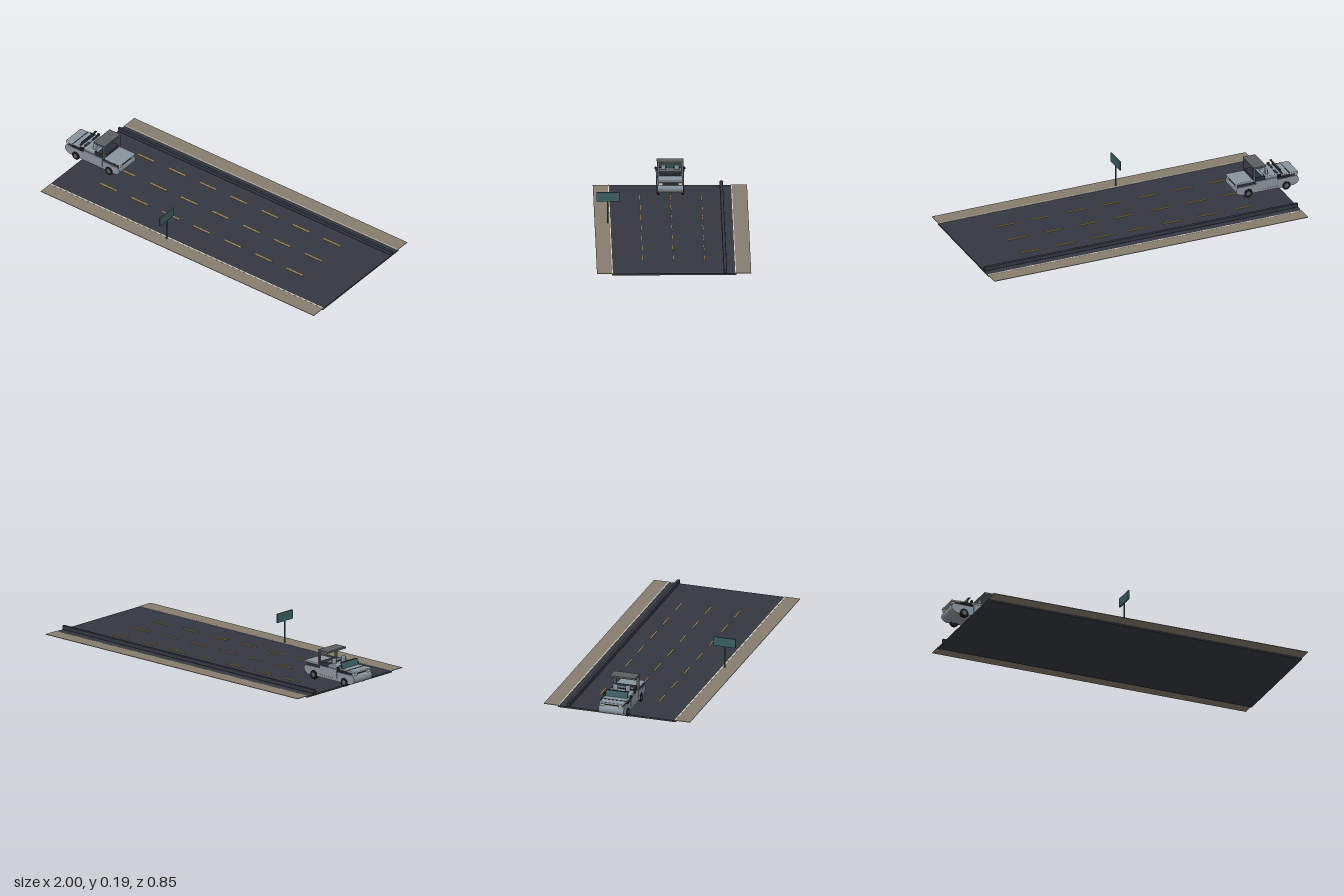
import * as THREE from 'three';
import { RoundedBoxGeometry } from 'three/addons/geometries/RoundedBoxGeometry.js';

const material = (name, color) => {
  const m = new THREE.MeshStandardMaterial({ color });
  m.name = name;
  return m;
};

export function createModel() {
  const asphalt = material('asphalt', 0x343840);
  const gravel = material('gravel', 0x857d6f);
  const yellow = material('laneYellow', 0xc2a55a);
  const white = material('lineWhite', 0xd8d2c2);
  const teal = material('teal', 0x3a5c62);
  const paint = material('bodyPaint', 0x8a959e);
  const trim = material('darkTrim', 0x2b3036);
  const canvas = material('canopyGrey', 0x5c5f60);
  const rubber = material('rubber', 0x15171a);

  const model = new THREE.Group();
  model.name = 'roadScene';
  const group = (name) => {
    const g = new THREE.Group();
    g.name = name;
    model.add(g);
    return g;
  };
  const add = (parent, name, geometry, mat, x = 0, y = 0, z = 0) => {
    const mesh = new THREE.Mesh(geometry, mat);
    mesh.name = name;
    mesh.position.set(x, y, z);
    parent.add(mesh);
    return mesh;
  };
  // Boxes given by their extents on each axis
  const box = (parent, name, mat, [x0, x1], [y0, y1], [z0, z1], r = 0) => {
    const s = [x1 - x0, y1 - y0, z1 - z0];
    const geometry = r ? new RoundedBoxGeometry(...s, 3, r) : new THREE.BoxGeometry(...s);
    return add(parent, name, geometry, mat, (x0 + x1) / 2, (y0 + y1) / 2, (z0 + z1) / 2);
  };

  // Road bed, shoulders, edge lines and the barrier along the back edge
  const road = group('road');
  const span = [-0.9, 1];
  box(road, 'roadBed', asphalt, span, [0, 0.009], [-0.345, 0.345]);
  for (const s of [-1, 1]) {
    const side = (a, b) => [Math.min(s * a, s * b), Math.max(s * a, s * b)];
    box(road, 'shoulder', gravel, span, [0.008, 0.011], side(0.341, 0.427));
    box(road, 'edgeLine', white, span, [0.009, 0.0115], side(0.336, 0.343));
  }
  box(road, 'barrier', asphalt, span, [0.009, 0.033], [-0.293, -0.275], 0.003);

  // Dashed lane lines
  for (const z of [-0.172, 0, 0.17]) {
    for (let i = 0; i < 7; i++) {
      const x = -0.623 + i * 0.2157;
      box(road, 'laneDash', yellow, [x - 0.058, x + 0.058], [0.009, 0.013], [z - 0.004, z + 0.004]);
    }
  }

  // Roadside sign
  const sign = group('roadSign');
  add(sign, 'signPost', new THREE.CylinderGeometry(0.004, 0.004, 0.13, 12), teal, -0.081, 0.074, 0.353);
  box(sign, 'signPanel', teal, [-0.085, -0.077], [0.135, 0.187], [0.289, 0.417]);

  // Open car: lower hull from a side profile
  const car = group('car');
  const profile = new THREE.Shape();
  profile.moveTo(-0.97, 0.03);
  profile.lineTo(-0.65, 0.03);
  profile.quadraticCurveTo(-0.622, 0.042, -0.622, 0.06);
  profile.quadraticCurveTo(-0.622, 0.08, -0.635, 0.08);
  profile.lineTo(-0.985, 0.085);
  profile.quadraticCurveTo(-1.0, 0.08, -1.0, 0.06);
  profile.quadraticCurveTo(-1.0, 0.04, -0.97, 0.03);
  const hull = new THREE.ExtrudeGeometry(profile, { depth: 0.146, bevelEnabled: false, curveSegments: 6 });
  add(car, 'hull', hull, paint, 0, 0, -0.073);

  // Tub and decks above the hull
  box(car, 'innerBody', trim, [-0.98, -0.63], [0.078, 0.096], [-0.066, 0.066]);
  box(car, 'bonnet', paint, [-1, -0.885], [0.095, 0.107], [-0.07, 0.07], 0.005);
  box(car, 'rearDeck', paint, [-0.73, -0.62], [0.095, 0.106], [-0.07, 0.07], 0.005);
  box(car, 'cabinDeck', paint, [-0.875, -0.8], [0.095, 0.115], [-0.068, 0.068], 0.005);
  box(car, 'rearBulkhead', trim, [-0.8, -0.73], [0.095, 0.117], [-0.064, 0.064]);
  box(car, 'seatBar', paint, [-0.795, -0.78], [0.116, 0.128], [-0.062, 0.062], 0.005);

  // Windshield with its frame
  const glass = box(car, 'windshield', teal, [-0.902, -0.896], [0.1, 0.138], [-0.064, 0.064]);
  glass.rotation.z = -0.35;
  box(car, 'windshieldRail', trim, [-0.895, -0.885], [0.134, 0.14], [-0.066, 0.066]);
  box(car, 'bonnetSeam', trim, [-0.95, -0.945], [0.106, 0.1085], [-0.07, 0.07]);

  // Raised canopy
  box(car, 'canopy', canvas, [-0.802, -0.727], [0.176, 0.186], [-0.074, 0.074]);

  for (const s of [-1, 1]) {
    // Canopy posts, mirrors, lamps and seats, mirrored
    box(car, 'canopyPost', canvas, [-0.739, -0.727], [0.095, 0.18], [s * 0.067 - 0.007, s * 0.067 + 0.007]);
    box(car, 'mirror', trim, [-0.89, -0.875], [0.105, 0.117], [s * 0.079 - 0.006, s * 0.079 + 0.006], 0.003);
    box(car, 'sideRail', trim, [-0.945, -0.88], [0.09, 0.1], [s * 0.075 - 0.005, s * 0.075 + 0.005]);
    box(car, 'doorPanel', paint, [-0.87, -0.74], [0.045, 0.1], [s * 0.073 - 0.004, s * 0.073 + 0.004], 0.003);
    box(car, 'rearLamp', white, [-0.632, -0.624], [0.081, 0.095], [s * 0.054 - 0.011, s * 0.054 + 0.011]);
    box(car, 'frontLamp', white, [-0.996, -0.978], [0.084, 0.095], [s * 0.054 - 0.011, s * 0.054 + 0.011]);
    box(car, 'seatBack', paint, [-0.825, -0.81], [0.112, 0.146], [s * 0.037 - 0.014, s * 0.037 + 0.014], 0.006);
    box(car, 'bonnetVent', trim, [-0.882, -0.868], [0.114, 0.117], [s * 0.037 - 0.018, s * 0.037 + 0.018]);

    // Wheels
    for (const x of [-0.925, -0.695]) {
      const wheel = add(car, 'wheel', new THREE.CylinderGeometry(0.025, 0.025, 0.014, 24), rubber, x, 0.036, s * 0.068);
      wheel.rotation.x = Math.PI / 2;
      const hub = add(car, 'hubCap', new THREE.CylinderGeometry(0.013, 0.013, 0.003, 20), canvas, x, 0.036, s * 0.0755);
      hub.rotation.x = Math.PI / 2;
    }
  }

  return model;
}
